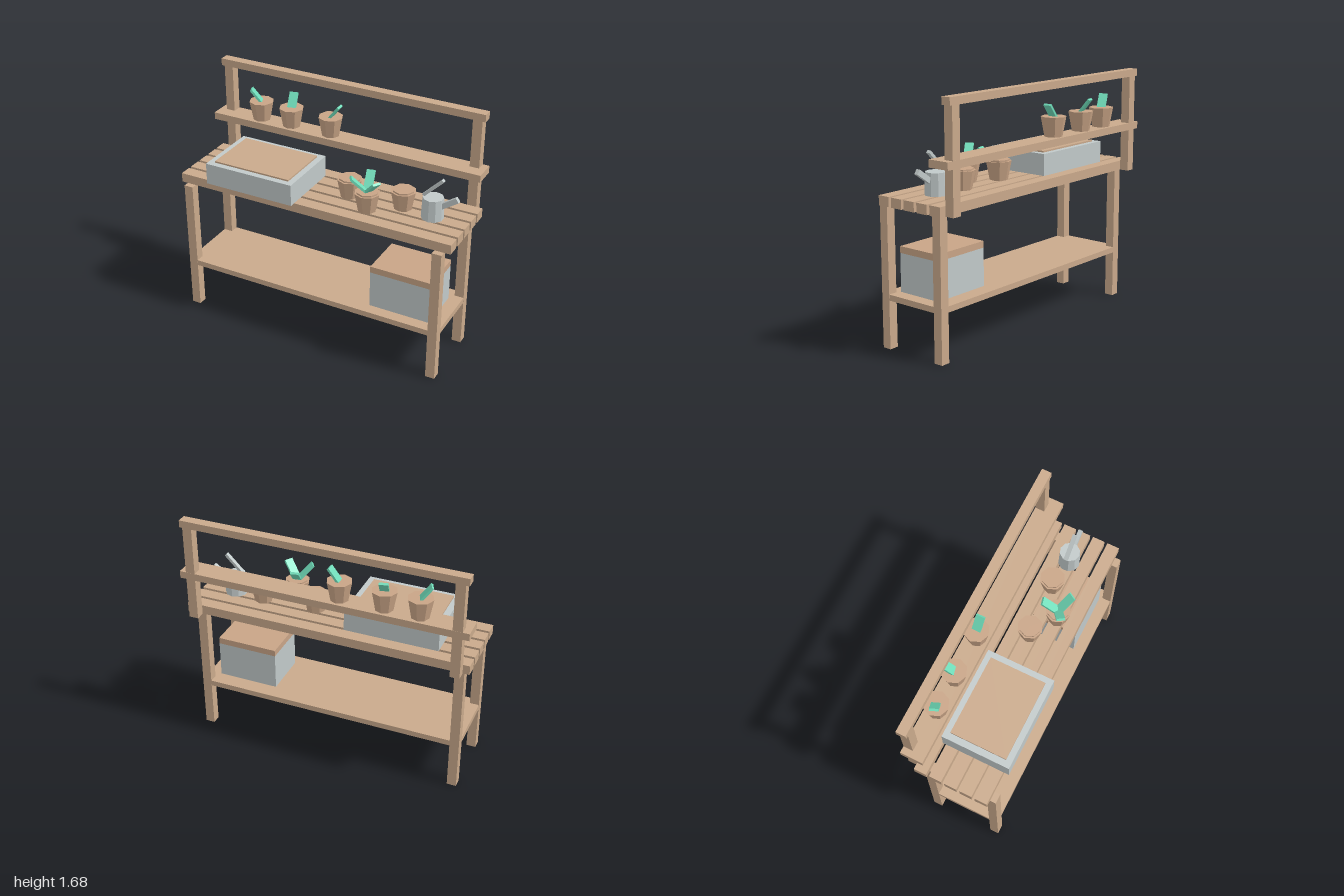
import * as THREE from 'three';

const mat = (name, color, flatShading = false) => {
  const m = new THREE.MeshStandardMaterial({ color, flatShading });
  m.name = name;
  return m;
};

export function createModel() {
  const wood = mat('wood', 0xc9a98b);
  const clay = mat('clay', 0xc8a486, true);
  const metal = mat('metal', 0xc1c9c9, true);
  const leafGreen = mat('leafGreen', 0x6fdcb9);
  const bench = new THREE.Group();
  bench.name = 'pottingBench';

  const add = (name, geometry, material, x, y, z, parent = bench) => {
    const mesh = new THREE.Mesh(geometry, material);
    mesh.name = name;
    mesh.position.set(x, y, z);
    parent.add(mesh);
    return mesh;
  };
  // Box given by its extents on each axis
  const block = (name, material, x0, x1, y0, y1, z0, z1) =>
    add(name, new THREE.BoxGeometry(x1 - x0, y1 - y0, z1 - z0), material,
      (x0 + x1) / 2, (y0 + y1) / 2, (z0 + z1) / 2);

  // Legs and back posts, mirrored left and right
  for (const s of [-1, 1]) {
    const a = s < 0 ? -0.955 : 0.89;
    const b = a + 0.065;
    block('frontLeg', wood, a, b, 0, 0.96, 0.255, 0.318);
    block('backLeg', wood, a, b, 0, 0.96, -0.2, -0.136);
    block('backPost', wood, a, b, 0.96, 1.635, -0.312, -0.247);
  }

  // Bench top slats
  for (let i = 0; i < 5; i++) {
    const z = 0.234 - i * 0.1087;
    block('slat', wood, -1, 1, 0.96, 1.025, z - 0.0435, z + 0.0435);
  }

  // Shelves and top rail
  block('lowerShelf', wood, -0.954, 0.954, 0.33, 0.37, -0.199, 0.317);
  block('upperShelf', wood, -1, 1, 1.255, 1.305, -0.313, -0.158);
  block('topRail', wood, -0.978, 0.975, 1.635, 1.685, -0.313, -0.246);

  // Soil bin on the lower shelf
  block('bin', metal, 0.432, 0.865, 0.37, 0.63, -0.09, 0.237);
  block('binTop', clay, 0.432, 0.865, 0.63, 0.675, -0.09, 0.237);

  // Planting tray with soil
  block('tray', metal, -0.765, -0.112, 1.025, 1.175, -0.158, 0.318);
  block('traySoil', wood, -0.72, -0.155, 1.17, 1.186, -0.118, 0.276);

  // Flat leaf blade leaning towards an azimuth in the x-z plane
  const leaf = (x, y, z, azimuth, reach, rise, width) => {
    const pivot = new THREE.Group();
    pivot.name = 'leaf';
    pivot.position.set(x, y, z);
    pivot.rotation.y = -THREE.MathUtils.degToRad(azimuth);
    const blade = add('leafBlade',
      new THREE.BoxGeometry(0.016, Math.hypot(reach, rise), width),
      leafGreen, reach / 2, rise / 2, 0, pivot);
    blade.rotation.z = -Math.atan2(reach, rise);
    bench.add(pivot);
  };

  // Eight-sided flower pot
  const pot = (x, y, z, h) => add('pot',
    new THREE.CylinderGeometry(0.086, 0.061, h, 8), clay, x, y + h / 2, z);

  // Upper shelf pots, one leaf each
  for (const [x, azimuth] of [[-0.655, 158], [-0.417, 257], [-0.113, 0]]) {
    pot(x, 1.305, -0.235, 0.135);
    leaf(x, 1.435, -0.235, azimuth, 0.068, 0.088, 0.06);
  }

  // Bench pots with raised soil
  for (const [x, z] of [[0.16, 0.01], [0.345, 0.125], [0.54, -0.01]]) {
    pot(x, 1.025, z, 0.128);
    add('potSoil', new THREE.CylinderGeometry(0.074, 0.074, 0.02, 8), clay, x, 1.154, z);
  }
  for (const azimuth of [31, 147, 257]) {
    leaf(0.345, 1.155, 0.125, azimuth, 0.108, 0.106, 0.058);
  }

  // Watering can with slanted handle and spout
  add('canBody', new THREE.CylinderGeometry(0.069, 0.075, 0.148, 10), metal, 0.758, 1.099, 0.013);
  const bar = (name, x, y, length, thick, angle) => {
    const mesh = add(name, new THREE.BoxGeometry(length, thick, 0.028), metal, x, y, 0.013);
    mesh.rotation.z = angle;
  };
  bar('canHandle', 0.757, 1.241, 0.185, 0.02, 0.79);
  bar('canSpout', 0.855, 1.147, 0.17, 0.036, 0.6);

  return bench;
}
